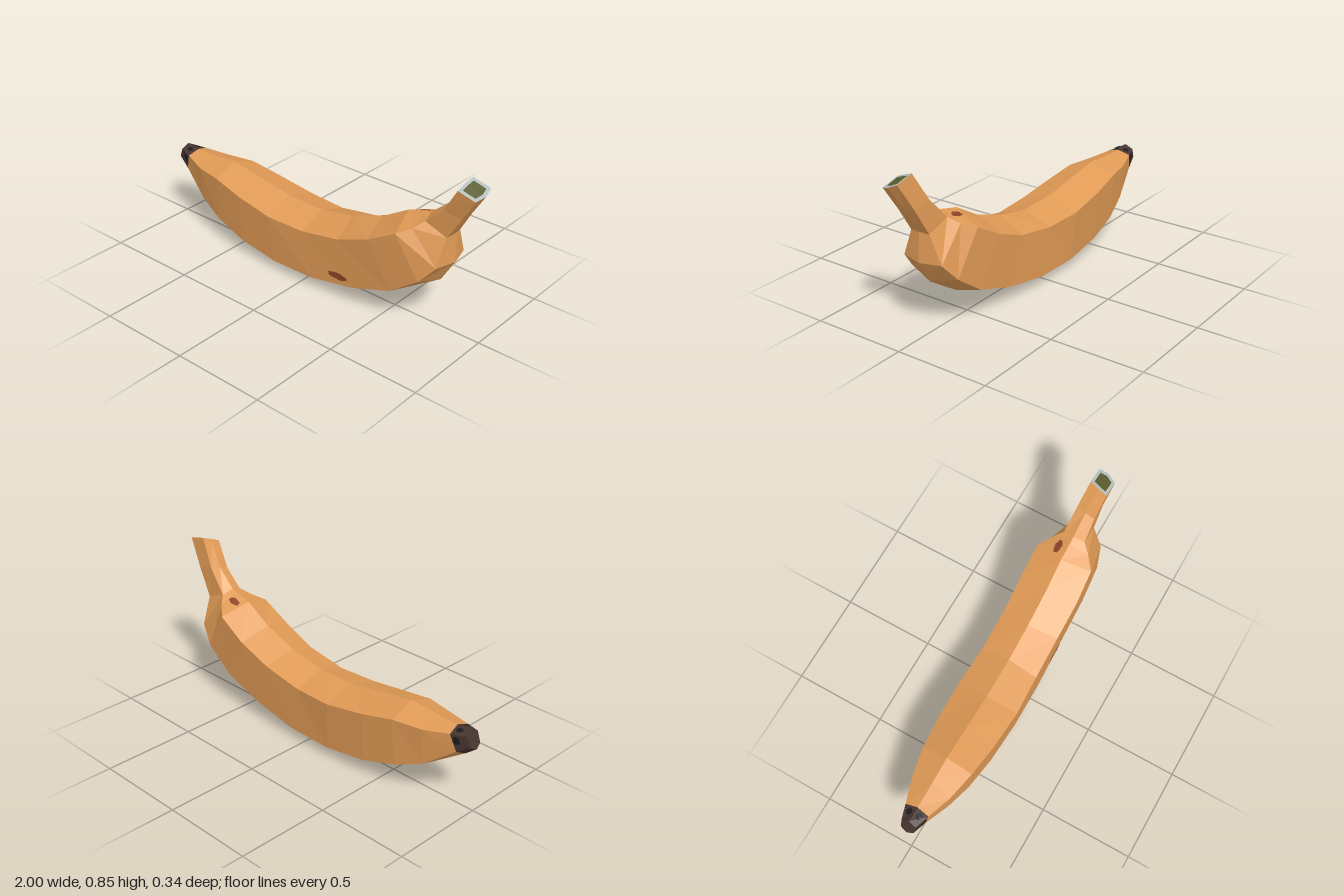
import * as THREE from 'three';

const mat = (name, color) => Object.assign(new THREE.MeshStandardMaterial({ color }), { name });

// Cross-sections: top x,y | upper side x,y,z | lower side x,y,z | bottom x,y
const bodyRings = [
  [-0.88, 0.425, -0.89, 0.405, 0.065, -0.92, 0.315, 0.05, -0.935, 0.292],
  [-0.74, 0.43, -0.76, 0.39, 0.108, -0.76, 0.195, 0.09, -0.75, 0.165],
  [-0.6, 0.44, -0.6, 0.39, 0.14, -0.61, 0.135, 0.122, -0.61, 0.09],
  [-0.42, 0.41, -0.42, 0.355, 0.16, -0.42, 0.085, 0.142, -0.43, 0.035],
  [-0.21, 0.375, -0.2, 0.32, 0.17, -0.18, 0.055, 0.152, -0.18, 0.003],
  [0.02, 0.37, 0.02, 0.315, 0.16, 0.08, 0.06, 0.152, 0.08, 0.01],
  [0.22, 0.41, 0.25, 0.355, 0.158, 0.34, 0.105, 0.145, 0.36, 0.065],
  [0.41, 0.48, 0.44, 0.43, 0.163, 0.57, 0.185, 0.145, 0.58, 0.145],
  [0.56, 0.57, 0.6, 0.52, 0.156, 0.73, 0.3, 0.14, 0.765, 0.265],
  [0.65, 0.593, 0.66, 0.55, 0.105, 0.81, 0.392, 0.112, 0.84, 0.39],
];
// Stem sections also carry a sideways shift and a tilt
const stemRings = [
  [0.69, 0.605, 0.7, 0.585, 0.06, 0.82, 0.537, 0.054, 0.83, 0.542, 0, 0],
  [0.795, 0.698, 0.8, 0.69, 0.052, 0.9, 0.672, 0.05, 0.91, 0.672, 0.006, 0.25],
  [0.88, 0.831, 0.8825, 0.829, 0.049, 0.98, 0.805, 0.049, 0.995, 0.803, 0.024, 0.39],
];
const tipRing = [-0.96, 0.436, -0.968, 0.412, 0.04, -0.99, 0.36, 0.035, -1, 0.343];

function section([tx, ty, ux, uy, uz, lx, ly, lz, bx, by, shift = 0, tilt = 0]) {
  return [[tx, ty, 0], [ux, uy, uz], [lx, ly, lz], [bx, by, 0], [lx, ly, -lz], [ux, uy, -uz]]
    .map(([x, y, z]) => new THREE.Vector3(x - 0.35 * tilt * z, y - tilt * z, z + shift));
}

const centreOf = (ring) =>
  ring.reduce((sum, p) => sum.add(p), new THREE.Vector3()).divideScalar(ring.length);

// Unshared corners give flat facets
function facets(points) {
  const g = new THREE.BufferGeometry().setFromPoints(points);
  g.computeVertexNormals();
  return g;
}

function skin(rings) {
  const pts = [];
  for (let i = 0; i < rings.length - 1; i++) {
    const n = rings[i].length;
    for (let j = 0; j < n; j++) {
      const k = (j + 1) % n;
      const [a, b, c, d] = [rings[i][j], rings[i][k], rings[i + 1][k], rings[i + 1][j]];
      pts.push(a, b, c, a, c, d);
    }
  }
  return pts;
}

function cap(ring, flip = false) {
  const centre = centreOf(ring);
  return ring.flatMap((p, j) => {
    const q = ring[(j + 1) % ring.length];
    return flip ? [centre, q, p] : [centre, p, q];
  });
}

export function createModel() {
  const peelMat = mat('peel', 0xe09a55);
  const tipMat = mat('dark tip', 0x47352f);
  const blackMat = mat('tip spots', 0x1d1c1e);
  const bruiseMat = mat('bruise', 0x8c4428);
  const rimMat = mat('cut rim', 0xb2bdbd);
  const coreMat = mat('cut core', 0x5a5c2c);

  const group = new THREE.Group();
  group.name = 'banana';
  const add = (name, geometry, material) => {
    const mesh = new THREE.Mesh(geometry, material);
    mesh.name = name;
    group.add(mesh);
    return mesh;
  };

  // Peel and stem in one skin
  const body = bodyRings.map(section);
  const stem = stemRings.map(section);
  const peel = add('peel', facets(skin([...body, ...stem])), peelMat);

  // Dark blossom end
  const tipEnd = section(tipRing);
  const tip = add('tip', facets([...skin([tipEnd, body[0]]), ...cap(tipEnd, true)]), tipMat);

  // Cut stem end: pale rim around a darker core
  const end = stem[2];
  const centre = centreOf(end);
  const inner = end.map((p) => p.clone().lerp(centre, 0.3));
  add('stemRim', facets(skin([end, inner])), rimMat);
  add('stemCore', facets(cap(inner)), coreMat);

  // Ragged spots laid on the surface, seen along dir
  function spot(name, target, material, at, dir, rx, ry) {
    const out = new THREE.Vector3(...dir).normalize();
    const u = new THREE.Vector3(1, 0, 0).addScaledVector(out, -out.x).normalize();
    const v = new THREE.Vector3().crossVectors(out, u);
    const ray = new THREE.Raycaster();
    const ring = [];
    for (let i = 0; i < 14; i++) {
      const a = (i / 14) * Math.PI * 2;
      const r = 0.92 + 0.1 * Math.sin(i * 2.4);
      const p = new THREE.Vector3(...at)
        .addScaledVector(u, Math.cos(a) * rx * r)
        .addScaledVector(v, Math.sin(a) * ry * r);
      ray.set(p.clone().addScaledVector(out, 1), out.clone().negate());
      const hit = ray.intersectObject(target)[0];
      if (hit) ring.push(hit.point.addScaledVector(out, 0.004));
    }
    if (ring.length > 2) add(name, facets(cap(ring)), material);
  }
  spot('frontBruise', peel, bruiseMat, [0.25, 0.14, 0.15], [0, 0, 1], 0.065, 0.021);
  spot('topBruise', peel, bruiseMat, [0.62, 0.55, -0.05], [0, 1, 0], 0.038, 0.02);
  spot('lowerBruise', peel, bruiseMat, [0.2, 0.04, 0.05], [0, -1, 0], 0.035, 0.012);
  for (const s of [1, -1]) {
    spot('tipSpot', tip, blackMat, [-0.922, 0.378, 0.05 * s], [0, 0, s], 0.02, 0.024);
    spot('tipTopSpot', tip, blackMat, [-0.915, 0.42, 0.028 * s], [0, 1, 0], 0.02, 0.016);
  }
  return group;
}
